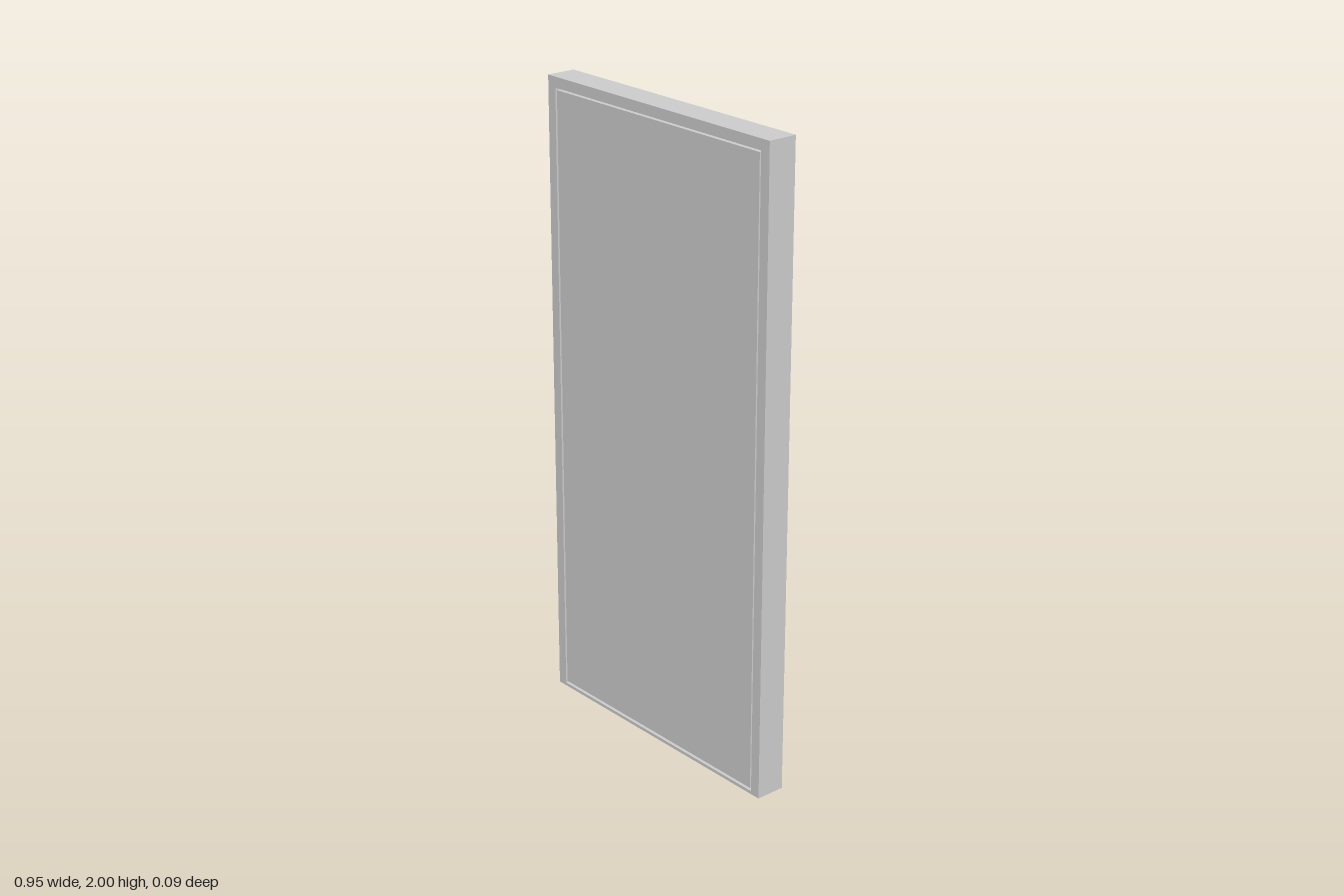
import * as THREE from 'three';

const material = new THREE.MeshStandardMaterial({ color: 0xcccccc });

// Upside-down U outline, open at the floor, extruded from z0 to z1
function archBand(name, outerX, outerY, innerX, innerY, z0, z1) {
  const shape = new THREE.Shape([
    [-outerX, 0], [-innerX, 0], [-innerX, innerY], [innerX, innerY],
    [innerX, 0], [outerX, 0], [outerX, outerY], [-outerX, outerY],
  ].map(([x, y]) => new THREE.Vector2(x, y)));
  const geometry = new THREE.ExtrudeGeometry(shape, { depth: z1 - z0, bevelEnabled: false });
  geometry.translate(0, 0, z0);
  const mesh = new THREE.Mesh(geometry, material);
  mesh.name = name;
  return mesh;
}

// Box given by half width and its y and z ranges
function slab(name, halfX, y0, y1, z0, z1) {
  const mesh = new THREE.Mesh(new THREE.BoxGeometry(halfX * 2, y1 - y0, z1 - z0), material);
  mesh.position.set(0, (y0 + y1) / 2, (z0 + z1) / 2);
  mesh.name = name;
  return mesh;
}

export function createModel() {
  const group = new THREE.Group();
  group.name = 'door';
  const half = 0.047; // half the frame depth

  group.add(
    // Jambs and head
    archBand('frame', 0.475, 2, 0.442, 1.967, -half, half),
    // Rebate strip the leaf closes against
    archBand('doorStop', 0.442, 1.967, 0.428, 1.953, -0.028, 0.003),
    // Leaf, flush with the front and clear of the sill
    slab('doorLeaf', 0.436, 0.018, 1.961, 0.004, half - 0.001),
    // Low sill between the jambs
    slab('threshold', 0.442, 0, 0.01, -half, half),
  );
  return group;
}
